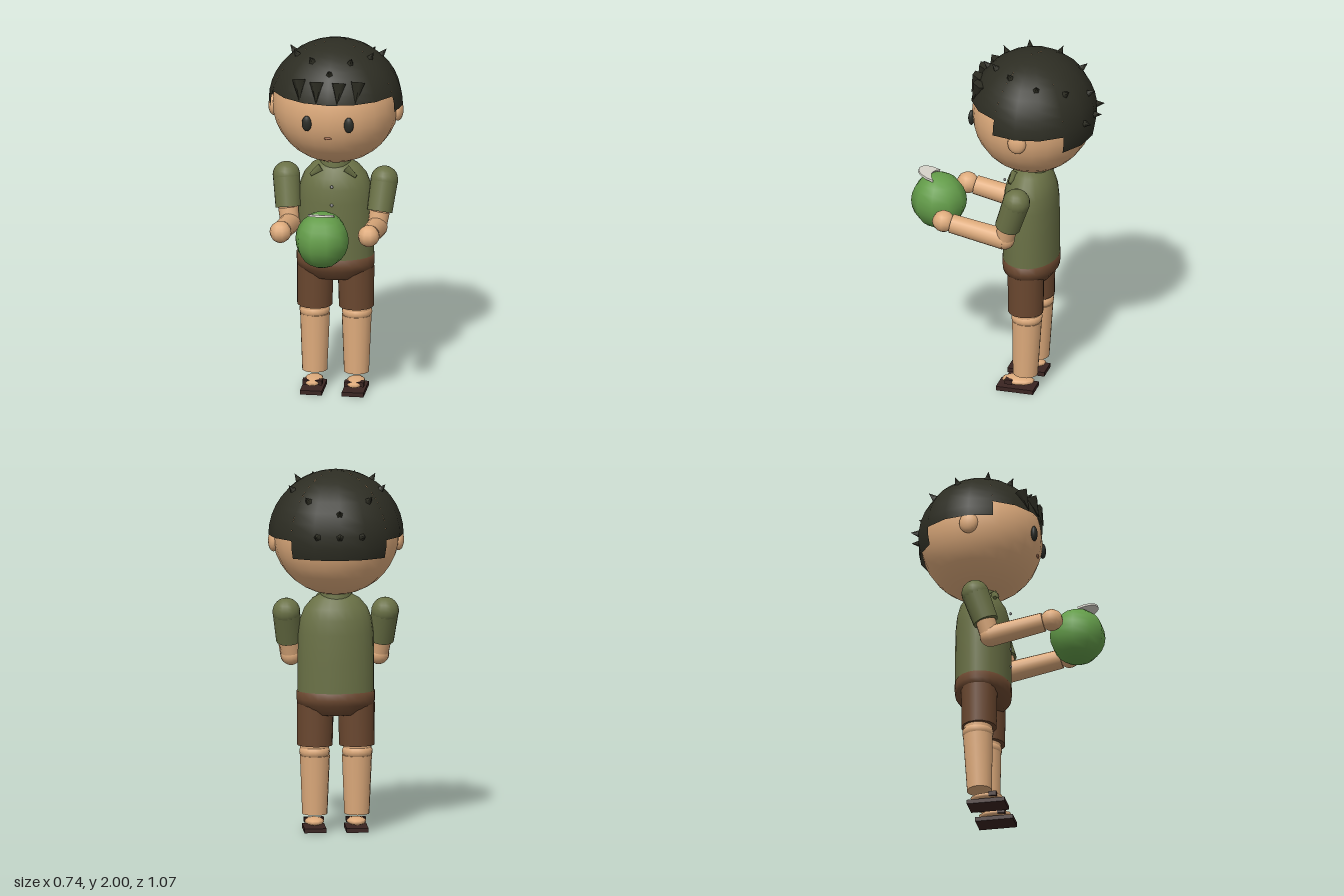
import * as THREE from 'three';

const mat = (name, color, side = THREE.FrontSide) => {
  const m = new THREE.MeshStandardMaterial({ color, side });
  m.name = name;
  return m;
};

export function createModel() {
  const root = new THREE.Group();
  root.name = 'boyWithFruit';
  const skin = mat('skin', 0xdeab7c);
  const hairMat = mat('hair', 0x2d2d23, THREE.DoubleSide);
  const shirt = mat('shirt', 0x6a7146);
  const brown = mat('shorts', 0x6a472f);
  const green = mat('fruitGreen', 0x639c49);
  const dark = mat('sandal', 0x3a2421);
  const white = mat('fruitFlesh', 0xdad7cd);
  const eyeMat = mat('eye', 0x2a2c27);
  const lip = mat('lip', 0x9a6548);
  const grey = mat('button', 0x909090);

  const V = (x, y, z) => new THREE.Vector3(x, y, z);
  const UP = V(0, 1, 0);
  const add = (name, geo, m, x = 0, y = 0, z = 0) => {
    const mesh = new THREE.Mesh(geo, m);
    mesh.name = name;
    mesh.position.set(x, y, z);
    root.add(mesh);
    return mesh;
  };
  const ball = (name, m, p, rx, ry, rz, w = 16, h = 12) => {
    const b = add(name, new THREE.SphereGeometry(1, w, h), m, ...p);
    b.scale.set(rx, ry, rz);
    return b;
  };
  // tapered cylinder from point a to point b
  const limb = (name, m, a, b, ra, rb, seg = 16) => {
    const c = add(name, new THREE.CylinderGeometry(rb, ra, a.distanceTo(b), seg), m);
    c.position.lerpVectors(a, b, 0.5);
    c.quaternion.setFromUnitVectors(UP, b.clone().sub(a).normalize());
    return c;
  };
  // oval body of revolution
  const oval = (name, m, pts, rx, rz) => {
    const geo = new THREE.LatheGeometry(pts.map(([r, y]) => new THREE.Vector2(r, y)), 24);
    const l = add(name, geo, m, 0, 0, -0.135);
    l.scale.set(rx, 1, rz);
    return l;
  };

  // head and face
  ball('head', skin, [0, 1.65, -0.145], 0.348, 0.338, 0.333, 24, 18);
  ball('mouth', lip, [0, 1.537, 0.166], 0.021, 0.009, 0.01, 10, 6);
  for (const s of [-1, 1]) {
    ball('ear', skin, [s * 0.342, 1.612, -0.148], 0.03, 0.06, 0.052);
    ball('eye', eyeMat, [s * 0.116, 1.62, 0.172], 0.027, 0.044, 0.018);
  }

  // hair cap in panels: [start, panel count, how far down]
  const C = V(0, 1.645, -0.145), R = V(0.37, 0.355, 0.35);
  const step = Math.PI / 8;
  for (const [start, n, drop] of [[1, 6, 1.315], [-2, 3, 1.57], [7, 3, 1.57], [10, 4, 1.855]]) {
    const cap = add('hairCap', new THREE.SphereGeometry(1, n, 10, start * step, n * step, 0, drop), hairMat);
    cap.position.copy(C);
    cap.scale.copy(R);
  }

  // hair spikes, standing out from the cap
  const spike = (x, y, z) => {
    const n = V((x - C.x) / R.x ** 2, (y - C.y) / R.y ** 2, (z - C.z) / R.z ** 2).normalize();
    const p = V(x, y, z);
    limb('hairSpike', hairMat, p.clone().addScaledVector(n, -0.012), p.clone().addScaledVector(n, 0.04), 0.023, 0, 5);
  };
  const topSpikes = [[0, 0.11], [0, -0.46], [0.105, 0.035], [0.2, -0.07], [0.24, -0.23], [0.165, -0.375]];
  for (const [x, z] of topSpikes) {
    const y = C.y + R.y * Math.sqrt(1 - (x / R.x) ** 2 - ((z - C.z) / R.z) ** 2);
    spike(x, y, z);
    if (x) spike(-x, y, z);
  }
  for (const x of [-0.125, 0, 0.125]) {
    spike(x, 1.675, C.z - R.z * Math.sqrt(1 - (x / R.x) ** 2));
  }

  // fringe tufts pointing down
  for (const x of [-0.165, -0.065, 0.055, 0.155]) {
    const z = C.z + 0.34 * Math.sqrt(1 - (x / R.x) ** 2 - 0.25);
    limb('fringeTuft', hairMat, V(x, 1.85, z), V(x * 0.97, 1.74, z + 0.045), 0.042, 0, 5);
  }

  // shirt, collar and buttons
  oval('shirt', shirt, [[1, 0.77], [1, 0.95], [0.98, 1.1], [0.93, 1.18], [0.82, 1.24], [0.62, 1.29], [0.4, 1.315], [0, 1.32]], 0.21, 0.152);
  add('collar', new THREE.CylinderGeometry(0.083, 0.09, 0.06, 20), shirt, 0, 1.31, -0.135);
  for (const y of [0.885, 0.99, 1.1, 1.205]) ball('button', grey, [0, y, 0.017], 0.009, 0.009, 0.007, 8, 6);

  // shorts waist
  oval('shortsWaist', brown, [[0, 0.65], [0.55, 0.65], [0.72, 0.655], [0.99, 0.71], [1.01, 0.74], [1.01, 0.78], [0.9, 0.78]], 0.213, 0.152);

  for (const s of [-1, 1]) {
    // collar point
    limb('collarPoint', shirt, V(s * 0.07, 1.29, -0.06), V(s * 0.125, 1.25, -0.045), 0.03, 0.012, 4);

    // arm
    const shoulder = V(s * 0.27, 1.215, -0.125), cuff = V(s * 0.252, 1.05, -0.07);
    const elbow = V(s * 0.24, 0.965, -0.05), wrist = V(s * 0.243, 1.022, 0.25);
    ball('shoulder', shirt, shoulder.toArray(), 0.076, 0.076, 0.076);
    limb('sleeve', shirt, cuff, shoulder, 0.07, 0.075);
    limb('upperArm', skin, elbow, cuff, 0.052, 0.056);
    ball('elbow', skin, elbow.toArray(), 0.056, 0.056, 0.056);
    limb('forearm', skin, elbow, wrist, 0.058, 0.053);
    ball('hand', skin, [s * 0.243, 1.03, 0.295], 0.06, 0.06, 0.063, 10, 8);

    // leg
    limb('shortsLeg', brown, V(s * 0.115, 0.48, -0.135), V(s * 0.112, 0.71, -0.135), 0.097, 0.101);
    limb('thigh', skin, V(s * 0.117, 0.44, -0.14), V(s * 0.117, 0.52, -0.14), 0.078, 0.08);
    ball('knee', skin, [s * 0.117, 0.445, -0.142], 0.084, 0.055, 0.086);
    limb('calf', skin, V(s * 0.115, 0.1, -0.133), V(s * 0.115, 0.425, -0.142), 0.069, 0.082);

    // foot and sandal
    ball('foot', skin, [s * 0.115, 0.052, -0.092], 0.054, 0.023, 0.093, 10, 8);
    add('sandalSole', new THREE.BoxGeometry(0.12, 0.024, 0.21), dark, s * 0.115, 0.012, -0.087);
    add('sandalStrap', new THREE.BoxGeometry(0.108, 0.026, 0.042), dark, s * 0.115, 0.055, -0.05);
  }

  // green fruit with a cut lid
  ball('fruit', green, [0, 1.03, 0.39], 0.147, 0.157, 0.153, 10, 12);
  const lid = new THREE.Shape();
  lid.moveTo(-0.07, 0);
  lid.bezierCurveTo(-0.085, 0.14, 0.085, 0.14, 0.07, 0);
  lid.quadraticCurveTo(0, 0.06, -0.07, 0);
  const lidGeo = new THREE.ExtrudeGeometry(lid, { depth: 0.012, bevelEnabled: false, curveSegments: 10 });
  lidGeo.rotateX(Math.PI / 2);
  add('fruitLid', lidGeo, white, 0, 1.178, 0.402).rotation.x = -0.3;

  return root;
}
